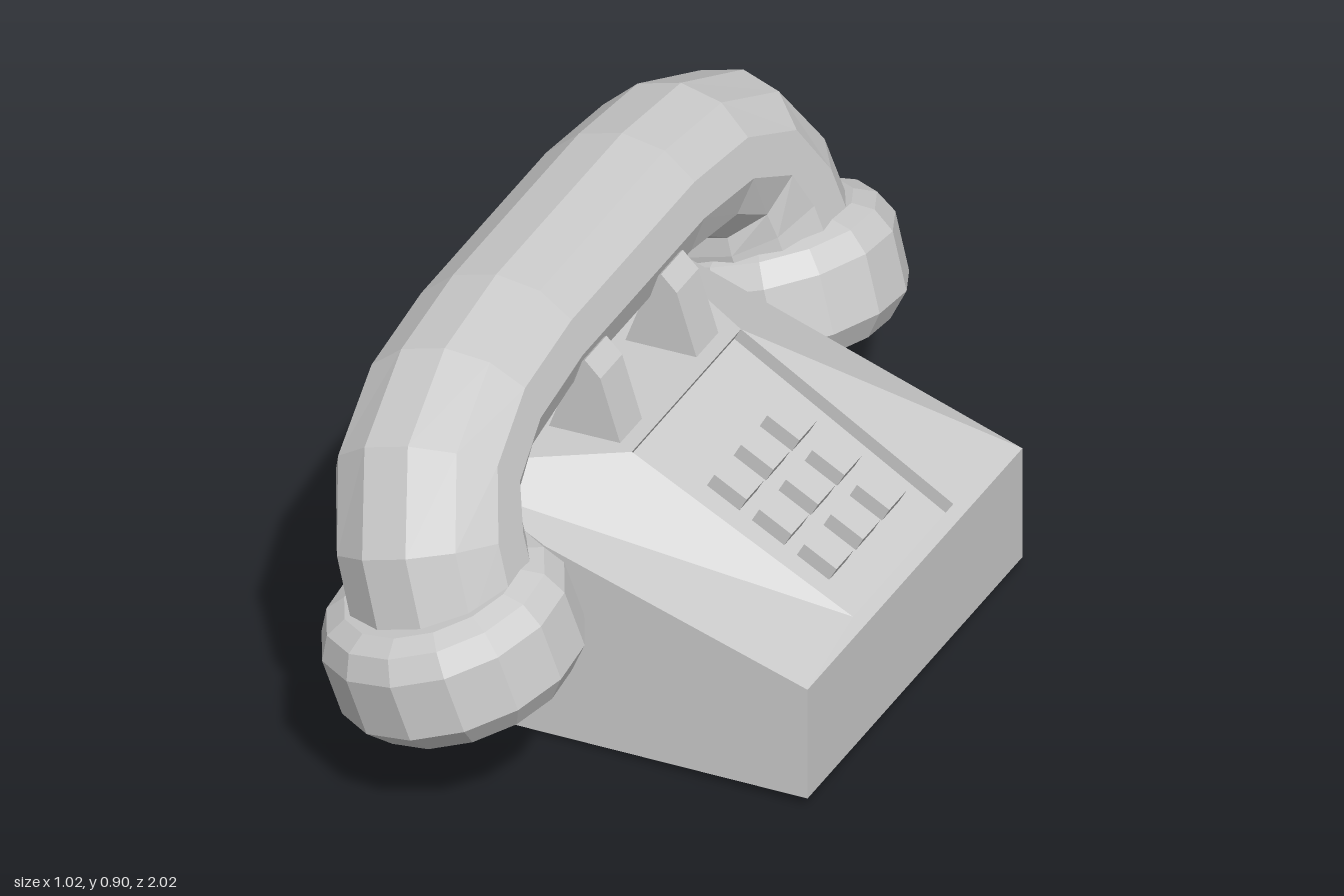
import * as THREE from 'three';

const material = new THREE.MeshStandardMaterial({ color: 0xcccccc, flatShading: true });

function addMesh(parent, name, geometry) {
  const mesh = new THREE.Mesh(geometry, material);
  mesh.name = name;
  parent.add(mesh);
  return mesh;
}

// Flat-faced geometry from quads given as four corner points each
function quadGeometry(quads) {
  const pos = [];
  for (const [a, b, c, d] of quads) pos.push(...a, ...b, ...c, ...a, ...c, ...d);
  const g = new THREE.BufferGeometry();
  g.setAttribute('position', new THREE.Float32BufferAttribute(pos, 3));
  g.computeVertexNormals();
  return g;
}

// Wedge body with a sunken keypad panel
function bodyGeometry() {
  const B = [[-0.41, 0, 0.52], [0.51, 0.02, 0.53], [0.51, 0.02, -0.455], [-0.41, 0, -0.49]];
  const T = [[-0.41, 0.55, 0.52], [0.51, 0.28, 0.53], [0.51, 0.28, -0.455], [-0.41, 0.55, -0.49]];
  const P = [[0, 0.56, 0.285], [0.485, 0.295, 0.27], [0.485, 0.295, -0.19], [0, 0.56, -0.215]];
  const F = P.map(([x, y, z]) => [x - 0.015, y - 0.027, z]);
  const quads = [[B[0], B[3], B[2], B[1]], F];
  for (let i = 0; i < 4; i++) {
    const j = (i + 1) % 4;
    quads.push([B[i], B[j], T[j], T[i]]); // outer wall
    quads.push([T[i], T[j], P[j], P[i]]); // top around the panel
    quads.push([P[i], P[j], F[j], F[i]]); // wall of the recess
  }
  return quadGeometry(quads);
}

// Arched tube: oval cross-sections swept along a mirrored path of [z, y, half thickness]
function handleGeometry() {
  const half = [[0.28, 0.797, 0.155], [0.5, 0.77, 0.16], [0.655, 0.695, 0.175],
    [0.715, 0.58, 0.19], [0.73, 0.45, 0.19]];
  const path = [...half.map(([z, y, r]) => [-z, y, r]).reverse(), [0, 0.797, 0.155], ...half];
  const sides = 12;
  const rings = path.map(([z, y, r], i) => {
    const a = path[Math.max(i - 1, 0)], b = path[Math.min(i + 1, path.length - 1)];
    const len = Math.hypot(b[0] - a[0], b[1] - a[1]);
    const nz = -(b[1] - a[1]) / len, ny = (b[0] - a[0]) / len;
    return Array.from({ length: sides }, (_, k) => {
      const t = ((k + 0.5) / sides) * Math.PI * 2;
      const s = Math.sin(t) * r * 1.02;
      return [Math.cos(t) * 0.195, y + ny * s, z + nz * s];
    });
  });
  const quads = [];
  for (let i = 0; i < rings.length - 1; i++) {
    for (let k = 0; k < sides; k++) {
      const m = (k + 1) % sides;
      quads.push([rings[i][k], rings[i][m], rings[i + 1][m], rings[i + 1][k]]);
    }
  }
  return quadGeometry(quads);
}

function extrudeProfile(points, depth) {
  const shape = new THREE.Shape(points.map(([x, y]) => new THREE.Vector2(x, y)));
  return new THREE.ExtrudeGeometry(shape, { depth, bevelEnabled: false });
}

export function createModel() {
  const model = new THREE.Group();
  model.name = 'deskTelephone';
  addMesh(model, 'body', bodyGeometry());

  // Keypad: 3 x 3 buttons lying on the slope
  const keypad = new THREE.Group();
  keypad.name = 'keypad';
  model.add(keypad);
  const slope = Math.atan2(0.265, 0.485);
  for (const x of [0.165, 0.265, 0.365]) {
    for (const z of [-0.092, 0.028, 0.15]) {
      const button = addMesh(keypad, 'button', new THREE.BoxGeometry(0.082, 0.035, 0.08));
      button.position.set(x, 0.56 - x * Math.tan(slope) - 0.016, z);
      button.rotation.z = -slope;
    }
  }

  // Cradle: a front and a back prong at each of two positions
  const front = [[-0.03, 0.54], [-0.08, 0.7], [-0.115, 0.735], [-0.135, 0.72], [-0.2, 0.54]];
  const back = [[-0.4, 0.36], [-0.4, 0.55], [-0.44, 0.55], [-0.49, 0.645], [-0.505, 0.64],
    [-0.515, 0.5], [-0.465, 0.39]];
  for (const z of [0.165, -0.185]) {
    addMesh(model, 'frontProng', extrudeProfile(front, 0.1)).position.z = z;
    addMesh(model, 'backProng', extrudeProfile(back, 0.1)).position.z = z;
  }

  // Handset, leaning back on the cradle
  const lean = new THREE.Group();
  lean.name = 'handset';
  lean.rotation.z = 0.296;
  model.add(lean);
  const handset = new THREE.Group();
  handset.name = 'handsetParts';
  handset.position.x = -0.075;
  lean.add(handset);
  addMesh(handset, 'handle', handleGeometry());

  // Ear and mouth cups, hollow below and turned slightly inward
  const cup = [[0, 0.07], [0.17, 0.06], [0.195, 0], [0.215, 0], [0.262, 0.055], [0.262, 0.185],
    [0.235, 0.235], [0.19, 0.255], [0, 0.255]].map(([r, y]) => new THREE.Vector2(r, y));
  for (const side of [1, -1]) {
    const mesh = addMesh(handset, side > 0 ? 'mouthCup' : 'earCup', new THREE.LatheGeometry(cup, 14));
    mesh.position.set(0.003, 0.25, side * 0.728);
    mesh.rotation.x = side * 0.11;
  }
  return model;
}
